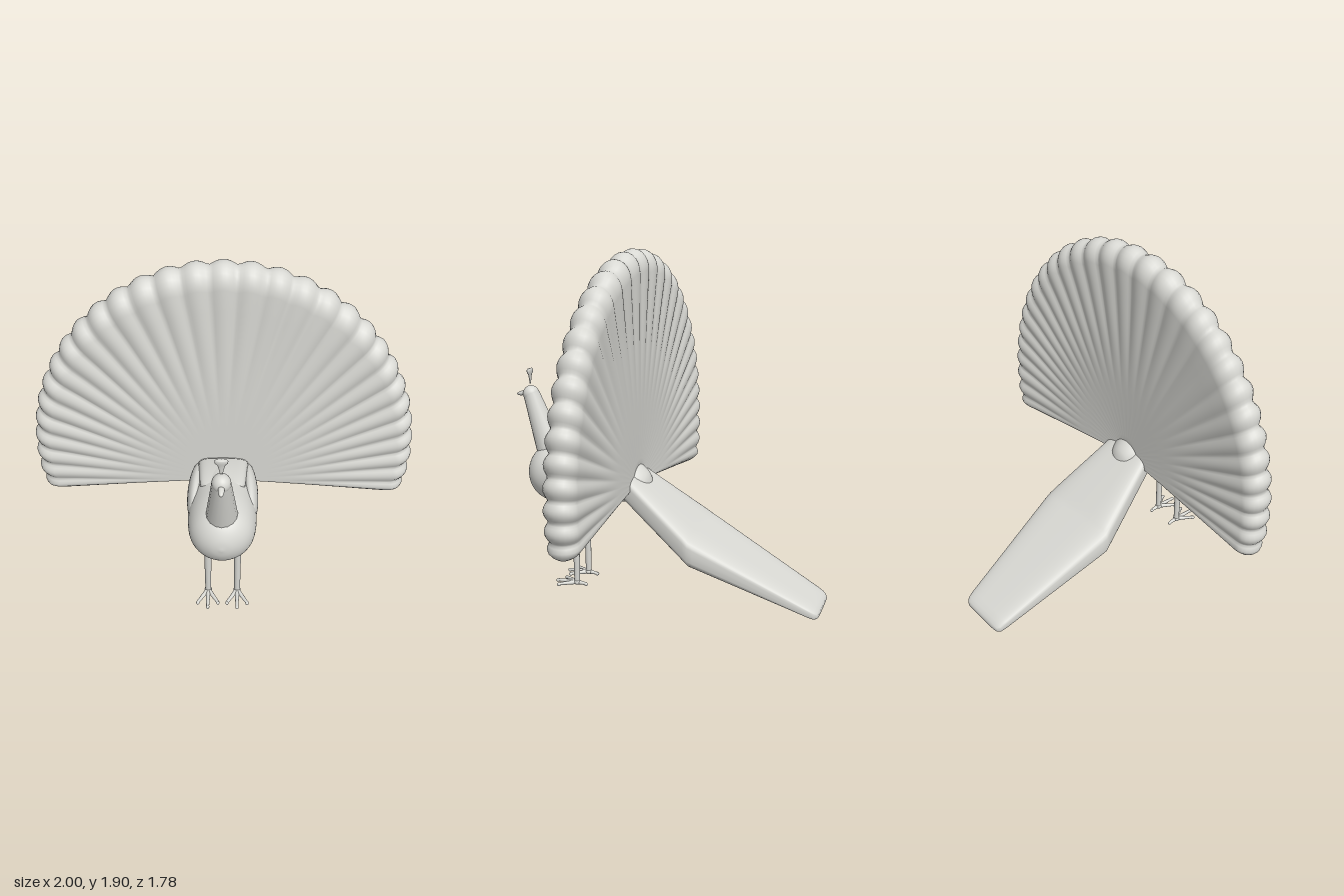
import * as THREE from 'three';
import { mergeVertices } from 'three/addons/utils/BufferGeometryUtils.js';

const V = (x, y, z) => new THREE.Vector3(x, y, z);

// Smooth skin over a list of closed rings with equal point counts
function loft(rings) {
  const n = rings[0].length, pos = [], idx = [];
  rings.forEach(r => r.forEach(p => pos.push(p.x, p.y, p.z)));
  for (let i = 0; i < rings.length - 1; i++) {
    for (let j = 0; j < n; j++) {
      const k = (j + 1) % n, a = i * n + j, b = i * n + k, c = a + n, d = b + n;
      idx.push(a, c, b, b, c, d);
    }
  }
  let g = new THREE.BufferGeometry();
  g.setAttribute('position', new THREE.Float32BufferAttribute(pos, 3));
  g.setIndex(idx);
  g = mergeVertices(g, 1e-4);
  g.computeVertexNormals();
  return g;
}

// Superellipse ring in the xy plane; e = 1 is round, smaller is boxier
function ring(z, y, rx, ry, e = 1, n = 40) {
  const f = v => Math.sign(v) * Math.pow(Math.abs(v), e);
  return Array.from({ length: n }, (_, j) => {
    const a = j / n * Math.PI * 2;
    return V(rx * f(Math.cos(a)), y + ry * f(Math.sin(a)), z);
  });
}

// Fan: thick scalloped sheet swept around the root of the tail
function fanGeometry() {
  const feathers = 31, tilt = 0.137, span = Math.PI + 2 * tilt, endZone = 0.095;
  const rootY = 0.628, rx = 0.986, ry = 1.108, lift = 0.152;
  const rim = t => {
    const c = Math.cos(t), s = Math.sin(t);
    const A = (c / rx) ** 2 + (s / ry) ** 2, B = s * lift / ry ** 2, C = (lift / ry) ** 2 - 1;
    return (B + Math.sqrt(B * B - A * C)) / A;
  };
  // angles: dense at both rounded ends
  const us = [];
  const ends = 7, cols = feathers * 8;
  for (let i = 0; i < ends; i++) us.push(endZone * (1 - Math.cos(i / ends * Math.PI / 2)));
  for (let i = 0; i <= cols; i++) us.push(endZone + (span - 2 * endZone) * i / cols);
  for (let i = ends - 1; i >= 0; i--) us.push(span - endZone * (1 - Math.cos(i / ends * Math.PI / 2)));
  // section: front face, round rim, back face
  const inner = 0.915, section = [];
  for (let i = 0; i < 10; i++) section.push([0.02 + (inner - 0.02) * i / 10, 1]);
  for (let i = 0; i <= 12; i++) {
    const a = i / 12 * Math.PI;
    section.push([inner + (1 - inner) * Math.sin(a), Math.cos(a)]);
  }
  for (let i = 9; i >= 0; i--) section.push([0.02 + (inner - 0.02) * i / 10, -1]);

  return loft(us.map(u => {
    const t = Math.PI + tilt - u;
    const d = Math.min(u, span - u, endZone) / endZone;
    const w = Math.sqrt(Math.max(0, 1 - (1 - d) ** 2));
    const bump = Math.abs(Math.cos((u / span - 0.5) * feathers * Math.PI));
    const R = rim(t) - 0.06 * (1 - w) - 0.012 + 0.024 * bump;
    return section.map(([s, side]) => {
      const ridge = 0.018 * (1 - bump) * THREE.MathUtils.smoothstep(s, 0.3, 0.95);
      const half = (0.09 - 0.03 * (1 - s) - ridge) * w;
      const mid = 0.178 + 0.035 * (1 - s);
      return V(R * s * Math.cos(t), rootY + R * s * Math.sin(t), mid + side * half);
    });
  }));
}

export function createModel() {
  const group = new THREE.Group();
  const plaster = new THREE.MeshStandardMaterial({ color: 0xd8d8d3 });
  plaster.name = 'pale grey';

  const add = (name, geo, parent = group) => {
    const m = new THREE.Mesh(geo, plaster);
    m.name = name;
    parent.add(m);
    return m;
  };
  // Tapered rod from a to b
  const rod = (name, a, b, ra, rb, parent) => {
    const m = add(name, new THREE.CylinderGeometry(rb, ra, a.distanceTo(b), 16), parent);
    m.position.copy(a).add(b).multiplyScalar(0.5);
    m.quaternion.setFromUnitVectors(V(0, 1, 0), b.clone().sub(a).normalize());
    return m;
  };
  const ball = (name, x, y, z, rx, ry, rz, parent) => {
    const m = add(name, new THREE.SphereGeometry(1, 32, 20), parent);
    m.position.set(x, y, z);
    m.scale.set(rx, ry, rz);
    return m;
  };

  add('tailFan', fanGeometry());

  // Body: (z, centre height, radius) along the spine
  const spine = new THREE.CatmullRomCurve3([
    V(0.812, 0.643, 0), V(0.8, 0.643, 0.057), V(0.765, 0.643, 0.116), V(0.71, 0.643, 0.156),
    V(0.62, 0.642, 0.174), V(0.5, 0.64, 0.171), V(0.35, 0.645, 0.155), V(0.2, 0.64, 0.12),
    V(0.1, 0.62, 0.07), V(0.07, 0.61, 0),
  ]);
  add('body', loft(spine.getPoints(45).map(p => ring(p.x, p.y, Math.max(0, p.z), Math.max(0, p.z)))));

  // Long trailing tail: flat slab starting on the back
  add('trailingTail', loft([
    [0.51, 0.76, 0, 0], [0.505, 0.76, 0.09, 0.025], [0.48, 0.755, 0.115, 0.045],
    [0.3, 0.73, 0.13, 0.07], [0.23, 0.665, 0.14, 0.085], [0.13, 0.588, 0.165, 0.085],
    [-0.18, 0.366, 0.249, 0.092], [-0.21, 0.343, 0.257, 0.092], [-0.24, 0.33, 0.254, 0.089],
    [-0.84, 0.065, 0.16, 0.034], [-0.87, 0.052, 0.152, 0.029], [-0.885, 0.047, 0.138, 0.02],
    [-0.892, 0.046, 0.12, 0.01], [-0.892, 0.046, 0, 0],
  ].map(r => ring(...r, 0.5))));

  // Neck and head
  rod('neck', V(0, 0.73, 0.672), V(0, 1.085, 0.799), 0.085, 0.046);
  ball('head', 0, 1.083, 0.8, 0.046, 0.047, 0.046);
  const beak = ball('beak', 0, 1.083, 0.853, 0.015, 0.013, 0.036);
  beak.rotation.x = 0.2;

  // Crest: flattened flaring tuft above the head
  const crest = add('crest', new THREE.LatheGeometry([
    [0, 0], [0.007, 0.002], [0.012, 0.03], [0.019, 0.055], [0.031, 0.066],
    [0.032, 0.08], [0.026, 0.086], [0, 0.087],
  ].map(p => new THREE.Vector2(...p)), 24));
  crest.position.set(0, 1.14, 0.803);
  crest.scale.z = 0.36;

  for (const side of [-1, 1]) {
    const name = side > 0 ? 'left' : 'right';
    // Folded wing
    const wing = ball(name + 'Wing', side * 0.137, 0.658, 0.405, 0.046, 0.113, 0.195);
    wing.rotation.y = side * 0.06;

    // Leg with four toes
    const leg = new THREE.Group();
    leg.name = name + 'Leg';
    leg.position.set(side * 0.08, 0, 0.505);
    group.add(leg);
    rod('shank', V(0, 0.015, 0), V(0, 0.48, 0), 0.016, 0.021, leg);
    ball('ankle', 0, 0.018, 0, 0.02, 0.017, 0.02, leg);
    for (const [x, z] of [[0, 0.12], [-0.055, 0.09], [0.055, 0.09], [0, -0.055]]) {
      rod('toe', V(0, 0.017, 0), V(x, 0.013, z), 0.013, 0.008, leg);
      ball('toeTip', x, 0.01, z, 0.009, 0.01, 0.012, leg);
    }
  }
  return group;
}
